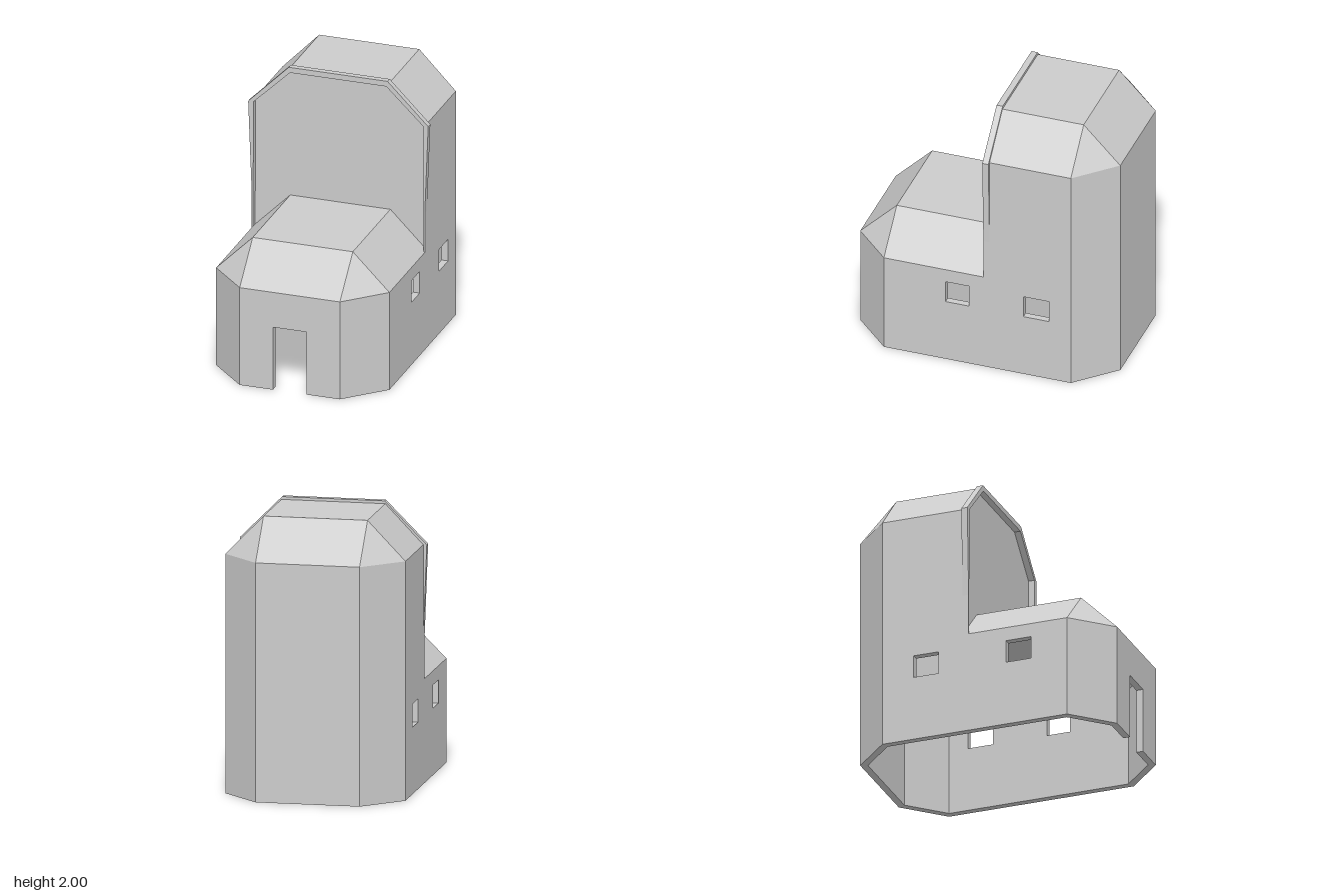
import * as THREE from 'three';

const material = new THREE.MeshStandardMaterial({ color: 0xcccccc, flatShading: true });
const T = 0.05;                       // wall thickness
const W = 0.64, C = 0.37;             // half width of the plan, half width of the flat roof
const D = 0.96, S = 0.69;             // half depth of the plan, half depth of the side walls
const STEP = -0.09;                   // z where the low hall meets the tower
const INSIDE = new THREE.Vector3(0, 0.3, -0.3);

// Flat slab with its outer face on the given 3D polygon, thickened towards the inside
function slab(name, points, holes = []) {
  const p = points.map((a) => new THREE.Vector3(...a));
  const u = p[1].clone().sub(p[0]).normalize();
  const n = u.clone().cross(p[2].clone().sub(p[0])).normalize();
  if (n.dot(p[0].clone().sub(INSIDE)) < 0) n.negate();
  const v = n.clone().cross(u);
  const flat = (q) => {
    const d = q.clone().sub(p[0]);
    return new THREE.Vector2(d.dot(u), d.dot(v));
  };
  const shape = new THREE.Shape(p.map(flat));
  for (const hole of holes) shape.holes.push(new THREE.Path(hole.map((a) => flat(new THREE.Vector3(...a)))));
  const geometry = new THREE.ExtrudeGeometry(shape, { depth: T, bevelEnabled: false });
  const origin = p[0].clone().addScaledVector(n, -T);
  geometry.applyMatrix4(new THREE.Matrix4().makeBasis(u, v, n).setPosition(origin));
  const mesh = new THREE.Mesh(geometry, material);
  mesh.name = name;
  return mesh;
}

// Chamfered end (walls and hipped roof) plus the roof running to the step; dir is +1 front, -1 back
function wing(name, dir, eave, ridge, door) {
  const group = new THREE.Group();
  group.name = name;
  const zs = dir * S, zd = dir * D;
  const endWall = [[C, eave, zd], [-C, eave, zd], [-C, 0, zd]];
  if (door) endWall.push([-door.w, 0, zd], [-door.w, door.h, zd], [door.w, door.h, zd], [door.w, 0, zd]);
  endWall.push([C, 0, zd]);
  group.add(
    slab('endWall', endWall),
    slab('endRoof', [[-C, eave, zd], [C, eave, zd], [C, ridge, zs], [-C, ridge, zs]]),
    slab('flatRoof', [[-C, ridge, zs], [C, ridge, zs], [C, ridge, STEP], [-C, ridge, STEP]])
  );
  for (const s of [1, -1]) {
    group.add(
      slab('cornerWall', [[s * C, 0, zd], [s * W, 0, zs], [s * W, eave, zs], [s * C, eave, zd]]),
      slab('cornerRoof', [[s * C, eave, zd], [s * W, eave, zs], [s * C, ridge, zs]]),
      slab('sideRoof', [[s * W, eave, zs], [s * W, eave, STEP], [s * C, ridge, STEP], [s * C, ridge, zs]])
    );
  }
  return group;
}

// Long side wall, stepped in height, with two small windows
function sideWall(name, x, windows) {
  const outline = [[0, S], [0, -S], [1.7, -S], [1.7, STEP], [0.74, STEP], [0.74, S]];
  const holes = windows.map(([a, b]) => [[x, 0.475, a], [x, 0.475, b], [x, 0.64, b], [x, 0.64, a]]);
  return slab(name, outline.map(([y, z]) => [x, y, z]), holes);
}

export function createModel() {
  const model = new THREE.Group();
  model.name = 'building';

  model.add(wing('hall', 1, 0.74, 1.01, { w: 0.125, h: 0.475 }));
  model.add(wing('tower', -1, 1.7, 1.98));

  model.add(sideWall('leftWall', W, [[-0.53, -0.34], [0.06, 0.235]]));
  model.add(sideWall('rightWall', -W, [[-0.455, -0.27], [0.235, 0.42]]));

  // Tower front above the hall roof
  model.add(slab('towerFront', [
    [-C, 1.98, STEP], [-W, 1.7, STEP], [-W, 0.73, STEP], [-0.62, 0.71, STEP], [-C, 0.96, STEP],
    [C, 0.96, STEP], [0.62, 0.71, STEP], [W, 0.73, STEP], [W, 1.7, STEP], [C, 1.98, STEP]
  ]));

  // Raised rim framing the tower front
  const outer = [[W, 0.74], [W, 1.04], [0.665, 1.7], [0.365, 2]];
  const inner = [[0.63, 0.74], [0.625, 1.7], [0.355, 1.96]];
  const mirror = (list) => list.map(([x, y]) => [-x, y]).reverse();
  const band = [...outer, ...mirror(outer), ...[...inner, ...mirror(inner)].reverse()];
  const rimGeometry = new THREE.ExtrudeGeometry(
    new THREE.Shape(band.map(([x, y]) => new THREE.Vector2(x, y))),
    { depth: 0.045, bevelEnabled: false }
  );
  const rim = new THREE.Mesh(rimGeometry, material);
  rim.name = 'towerRim';
  rim.position.z = STEP;
  model.add(rim);

  return model;
}
